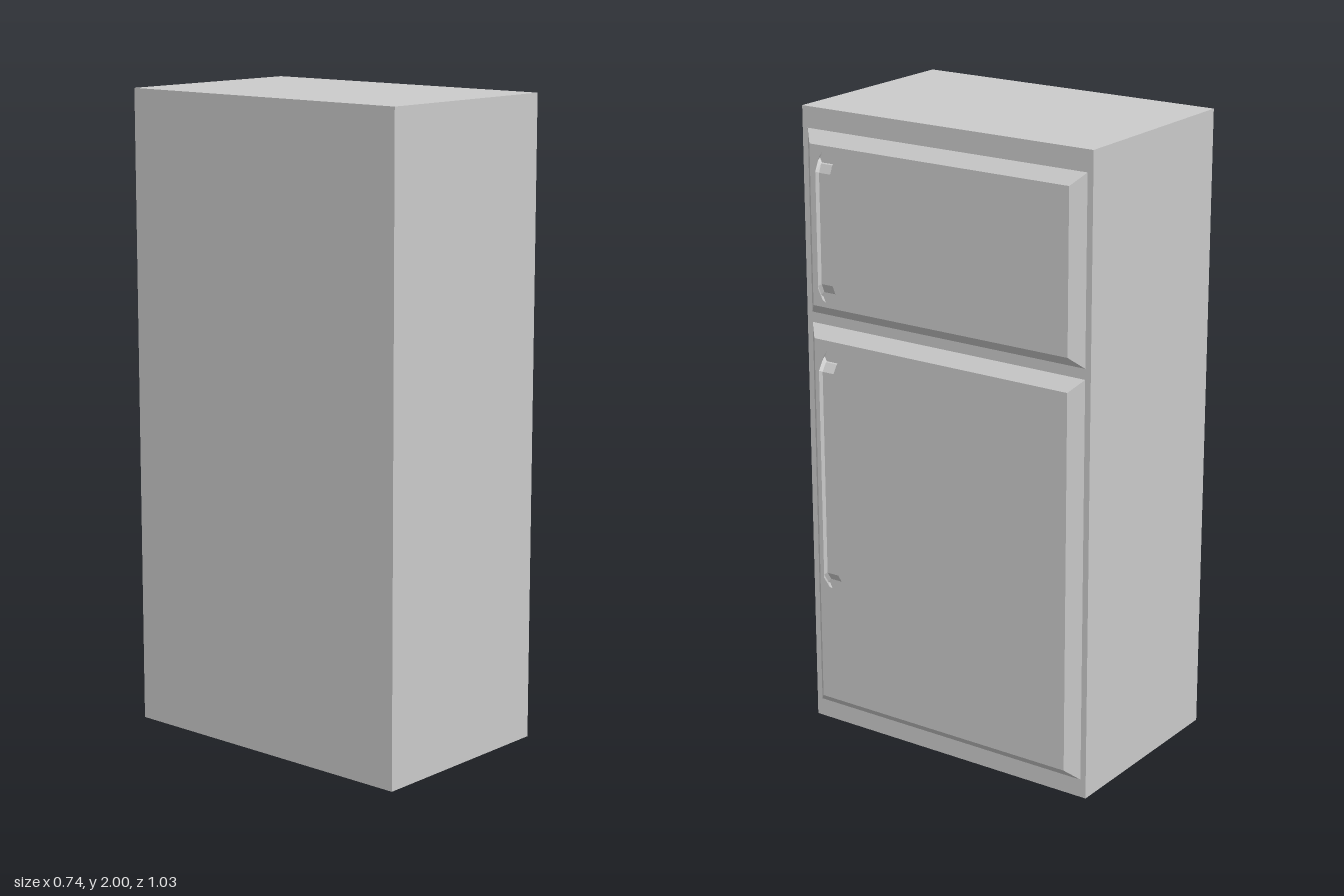
import * as THREE from 'three';

const material = new THREE.MeshStandardMaterial({ color: 0xcccccc, flatShading: true });

const BODY_X0 = -0.37, BODY_X1 = 0.287, DOOR_X = 0.325;

// Skins a list of equal-length rings of [x, y, z] and caps both ends.
function loft(rings) {
  const n = rings[0].length, index = [];
  for (let r = 0; r < rings.length - 1; r++) {
    for (let i = 0; i < n; i++) {
      const a = r * n + i, b = r * n + (i + 1) % n;
      index.push(a, b, b + n, a, b + n, a + n);
    }
  }
  const last = (rings.length - 1) * n;
  for (let i = 1; i < n - 1; i++) {
    index.push(0, i + 1, i, last, last + i, last + i + 1);
  }
  const geometry = new THREE.BufferGeometry();
  geometry.setAttribute('position', new THREE.Float32BufferAttribute(rings.flat(2), 3));
  geometry.setIndex(index);
  const flat = geometry.toNonIndexed();
  flat.computeVertexNormals();
  return flat;
}

function addMesh(parent, name, geometry) {
  const mesh = new THREE.Mesh(geometry, material);
  mesh.name = name;
  parent.add(mesh);
  return mesh;
}

// Door panel: a rectangle at the cabinet that tapers to a smaller face.
function doorGeometry(y0, y1) {
  const ring = (x, inset) => {
    const z = 0.497 - inset, lo = y0 + inset, hi = y1 - inset;
    return [[x, lo, z], [x, lo, -z], [x, hi, -z], [x, hi, z]];
  };
  return loft([ring(BODY_X1, 0), ring(DOOR_X, 0.036)]);
}

// Bar handle: a bevelled section swept out from the door, along it and back.
function handleGeometry(y0, y1, reach) {
  const x = DOOR_X, top = x + reach;
  // Each station is [inner x, inner y, outer x, outer y].
  const half = (y, s) => [
    [x - 0.002, y + s * 0.032, x - 0.002, y],
    [x + 0.004, y + s * 0.036, x + 0.015, y + s * 0.012],
    [top - 0.02, y + s * 0.062, top, y + s * 0.052],
  ];
  const stations = [...half(y0, 1), ...half(y1, -1).reverse()];
  const section = [[0, 0.021], [0.45, 0.028], [1, 0.019], [1, -0.019], [0.45, -0.028], [0, -0.021]];
  return loft(stations.map(([ix, iy, ox, oy]) =>
    section.map(([t, w]) => [ix + (ox - ix) * t, iy + (oy - iy) * t, 0.394 + w]).reverse()));
}

export function createModel() {
  const model = new THREE.Group();
  model.name = 'refrigerator';

  // Cabinet
  const cabinet = addMesh(model, 'cabinet', new THREE.BoxGeometry(BODY_X1 - BODY_X0, 2, 1.032));
  cabinet.position.set((BODY_X0 + BODY_X1) / 2, 1, 0);

  // Doors with their handles
  const doors = [
    { name: 'freezer', door: [1.362, 1.934], handle: [1.413, 1.88], reach: 0.035 },
    { name: 'fridge', door: [0.058, 1.329], handle: [0.475, 1.261], reach: 0.041 },
  ];
  for (const { name, door, handle, reach } of doors) {
    const group = new THREE.Group();
    group.name = name + 'Door';
    addMesh(group, name + 'Panel', doorGeometry(...door));
    addMesh(group, name + 'Handle', handleGeometry(...handle, reach));
    model.add(group);
  }
  return model;
}
